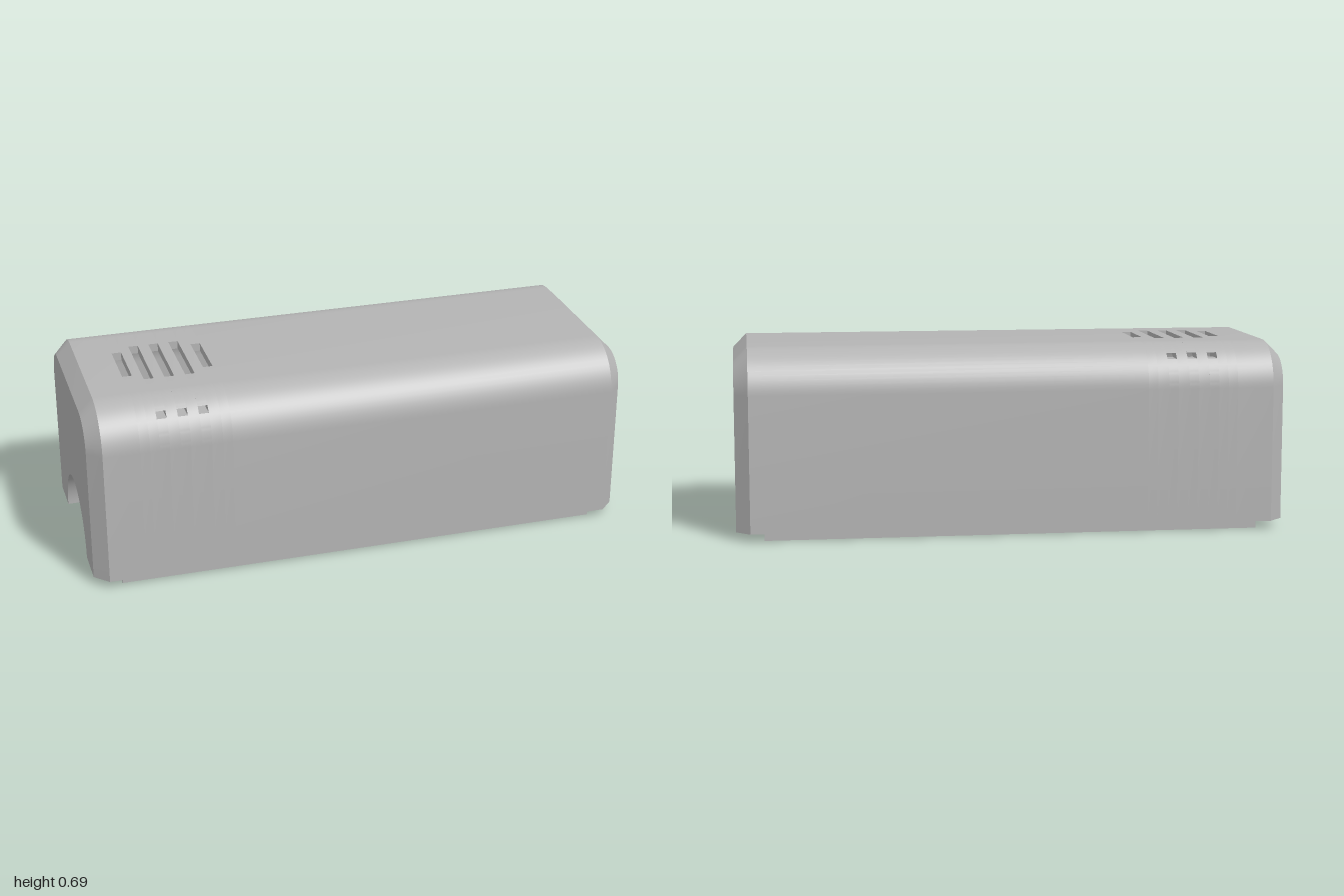
import * as THREE from 'three';
import { toCreasedNormals } from 'three/addons/utils/BufferGeometryUtils.js';

// Everything is built with length along local z, then turned so length runs along x.
const BASE = 0.03, CY = 0.525, L = 0.95;
const OUT = { c: 0.245, r: 0.16 };   // outer skin corner: centre and radius
const INN = { c: 0.225, r: 0.13 };   // inner skin corner
const INSET = { c: 0.245, r: 0.11 }; // chamfered end face corner
const H = Math.PI / 2;

export function createModel() {
  const plastic = new THREE.MeshStandardMaterial({ color: 0xb4b4b4 });
  plastic.name = 'grey plastic';
  const body = new THREE.Group();
  body.name = 'enclosure';

  const add = (name, geo, parent = body) => {
    const m = new THREE.Mesh(geo, plastic);
    m.name = name;
    parent.add(m);
    return m;
  };
  const v = (x, y) => new THREE.Vector2(x, y);
  const arc = (p, a0, a1, n = 14) => Array.from({ length: n + 1 }, (_, i) => {
    const a = a0 + (a1 - a0) * i / n;
    return v(p.c + p.r * Math.cos(a), CY + p.r * Math.sin(a));
  });
  const mirror = pts => pts.map(p => v(-p.x, p.y)).reverse();
  // Open path from the right foot over the top to the left foot
  const hoop = p => {
    const half = [v(p.c + p.r, BASE), ...arc(p, 0, H)];
    return [...half, ...mirror(half)];
  };
  const extrude = (shape, z0, z1) => {
    const g = new THREE.ExtrudeGeometry(shape, { depth: z1 - z0, bevelEnabled: false, curveSegments: 32 });
    g.translate(0, 0, z0);
    return toCreasedNormals(g, 0.4);
  };
  const rectPath = (w, y0, y1) => new THREE.Path([v(-w, y0), v(w, y0), v(w, y1), v(-w, y1)]);
  // Full-width wall with a round arch at the bottom and an optional window
  const archWall = (p, r, hole) => {
    const s = new THREE.Shape(hoop(p));
    s.lineTo(-r, BASE);
    s.absarc(0, BASE, r, Math.PI, 0, true);
    if (hole) s.holes.push(rectPath(...hole));
    return s;
  };

  // Shell, in slices along its length so the vents are real openings
  const plain = new THREE.Shape([...hoop(OUT), ...hoop(INN).reverse()]);
  const ventSlice = (zs, sideHole) => {
    const top = [v(zs, CY + OUT.r), v(zs, CY + INN.r)];
    const lo = 0.63 - CY, hi = 0.65 - CY;
    const at = (p, h) => Math.asin(h / p.r);
    const foot = [v(OUT.c + OUT.r, BASE)], footIn = [v(INN.c + INN.r, BASE)];
    const pieces = sideHole ? [
      [...foot, ...arc(OUT, 0, at(OUT, lo)), ...arc(INN, at(INN, lo), 0), ...footIn],
      [...arc(OUT, at(OUT, hi), H), ...top, ...arc(INN, H, at(INN, hi))],
    ] : [[...foot, ...arc(OUT, 0, H), ...top, ...arc(INN, H, 0), ...footIn]];
    return pieces.flatMap(p => [new THREE.Shape(p), new THREE.Shape(mirror(p))]);
  };
  let z = -L;
  [-0.8, -0.73, -0.655, -0.58, -0.505].forEach((c, i) => {
    const inner = i > 0 && i < 4;
    add('shell', extrude(plain, z, c - 0.0175));
    ventSlice(inner ? 0.147 : 0.105, inner).forEach(s => add('ventedShell', extrude(s, c - 0.0175, c + 0.0175)));
    z = c + 0.0175;
  });
  add('shell', extrude(plain, z, L));

  // Sloping chamfer around an end
  const chamfer = () => {
    const a = hoop(OUT), b = hoop(INSET), pos = [];
    const A = i => [a[i].x, a[i].y, L], B = i => [b[i].x, b[i].y, 1], C = i => [b[i].x, b[i].y, L];
    const n = a.length - 1;
    for (let i = 0; i < n; i++) {
      if (a[i].distanceTo(a[i + 1]) < 1e-6) continue;
      pos.push(...A(i), ...A(i + 1), ...B(i), ...A(i + 1), ...B(i + 1), ...B(i));
    }
    pos.push(...A(0), ...B(0), ...C(0), ...A(n), ...C(n), ...B(n));
    const g = new THREE.BufferGeometry();
    g.setAttribute('position', new THREE.Float32BufferAttribute(pos, 3));
    g.computeVertexNormals();
    return toCreasedNormals(g, 0.4);
  };

  // Ends: arched wall with a groove, stepped socket on one end, screw blocks
  for (const side of [1, -1]) {
    const end = new THREE.Group();
    end.name = side > 0 ? 'socketEnd' : 'plainEnd';
    const recess = side > 0 && [0.135, 0.385, 0.545];
    const opening = side > 0 && [0.10, 0.415, 0.515];
    add('endChamfer', chamfer(), end);
    add('endFace', extrude(archWall(INSET, 0.21, recess), L, 1), end);
    add('endGroove', extrude(archWall(INN, 0.235, opening), 0.93, L), end);
    add('endInnerWall', extrude(archWall(INN, 0.21, opening), 0.90, 0.93), end);

    const start = side > 0 ? 0.70 : 0.50;
    const a0 = Math.asin(0.10 / 0.25), a1 = Math.acos(0.165 / 0.25);
    for (const s of [1, -1]) {
      // Screw foot with a round hole
      const foot = new THREE.Shape([v(0.25, start), v(0.36, start), v(0.36, 0.9), v(0.25, 0.9)]);
      const hole = new THREE.Path();
      hole.absarc(0.303, 0.81, 0.036, 0, Math.PI * 2, true);
      foot.holes.push(hole);
      const g = new THREE.ExtrudeGeometry(foot, { depth: 0.1, bevelEnabled: false, curveSegments: 24 });
      g.rotateX(H);
      g.translate(0, BASE + 0.1, 0);
      if (s < 0) g.rotateY(Math.PI).translate(0, 0, start + 0.9);
      const m = add('screwFoot', toCreasedNormals(g, 0.4), end);
      // keep the hole at the same distance from the end on both sides
      if (s < 0) { m.geometry.scale(1, 1, -1); flip(m.geometry); m.position.z = start + 0.9; }

      // Bored block above the foot
      const pts = [v(0.36, BASE + 0.1)];
      for (let i = 0; i <= 10; i++) {
        const a = a0 + (a1 - a0) * i / 10;
        pts.push(v(0.25 * Math.cos(a), BASE + 0.25 * Math.sin(a)));
      }
      pts.push(v(0.165, 0.30), v(0.36, 0.30), v(0.36, BASE + 0.1));
      pts.pop();
      add('boredBlock', extrude(new THREE.Shape(s > 0 ? pts : mirror(pts)), start, 0.9), end);
      // Wedge filling the foot up to the bore
      const wedge = [v(0.25, BASE), v(0.25, BASE + 0.1), v(0.229, BASE + 0.1), v(0.245, BASE + 0.05)];
      add('boreEdge', extrude(new THREE.Shape(s > 0 ? wedge : mirror(wedge)), start, 0.9), end);
    }
    if (side < 0) end.rotation.y = Math.PI;
    body.add(end);
  }

  // Arched partition with a cable window
  add('partition', extrude(archWall(INN, 0.2, [0.055, 0.42, 0.6]), -0.40, -0.36));

  const box = (name, x, y0, y1, z0, z1, w) => {
    const g = new THREE.BoxGeometry(w, y1 - y0, z1 - z0);
    g.translate(x, (y0 + y1) / 2, (z0 + z1) / 2);
    add(name, g);
  };
  // Inner rails (local -x becomes the front) and locating lips
  box('frontRail', -0.215, BASE, 0.2, -0.36, 0.72, 0.03);
  box('backRail', 0.215, BASE, 0.2, 0.07, 0.72, 0.03);
  box('railBracket', 0.28, BASE, 0.2, 0.04, 0.07, 0.16);
  for (const s of [1, -1]) box('lip', s * 0.365, 0, 0.04, -0.9, 0.9, 0.02);

  body.rotation.y = H;
  const root = new THREE.Group();
  root.name = 'enclosureCover';
  root.add(body);
  return root;
}

// Restores outward faces after a mirrored scale
function flip(g) {
  const p = g.attributes.position, n = g.attributes.normal;
  for (const at of [p, n]) for (let i = 0; i < at.count; i += 3) {
    const a = [at.getX(i + 1), at.getY(i + 1), at.getZ(i + 1)];
    at.setXYZ(i + 1, at.getX(i + 2), at.getY(i + 2), at.getZ(i + 2));
    at.setXYZ(i + 2, ...a);
  }
}
